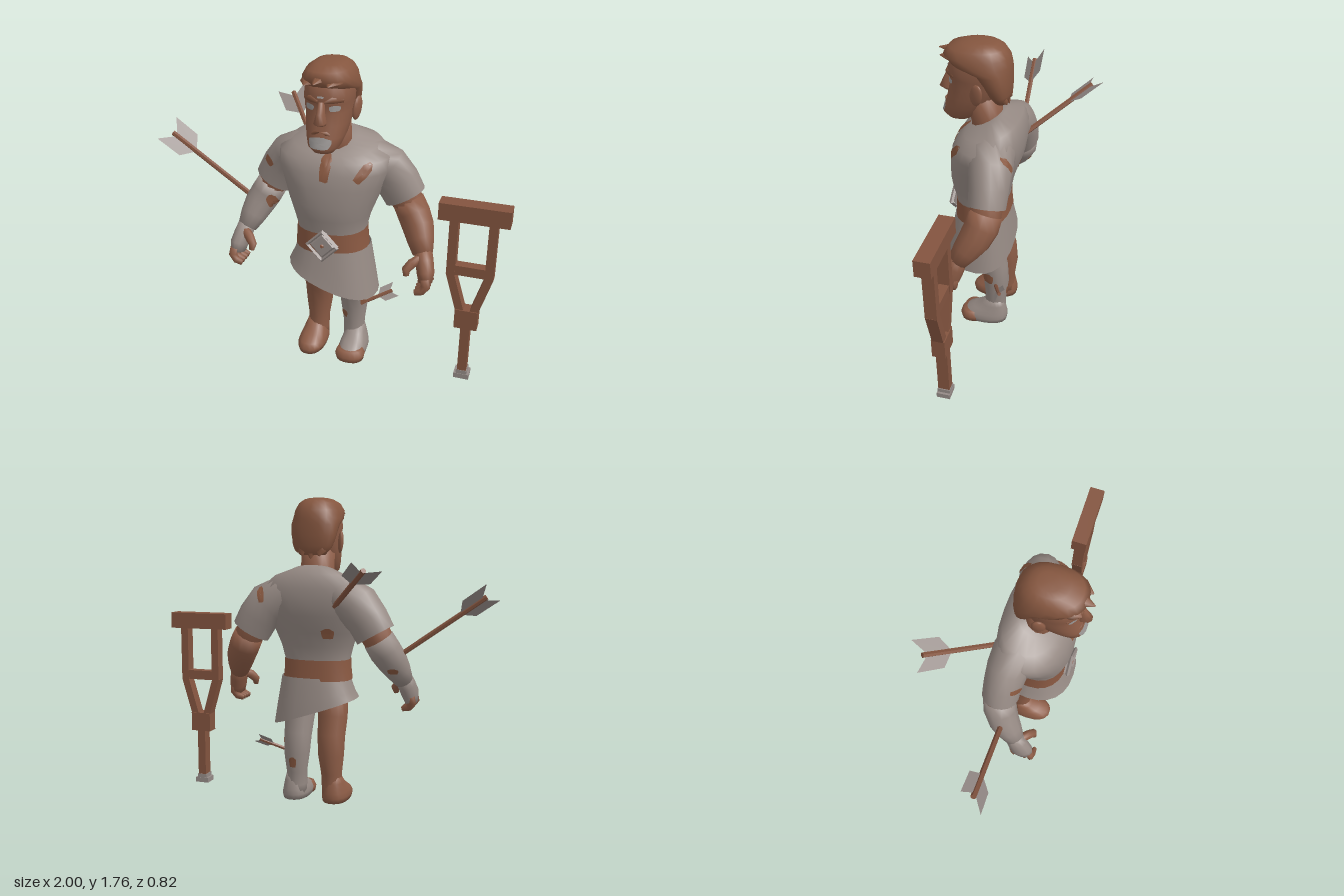
import * as THREE from 'three';

const V3 = (x, y, z) => new THREE.Vector3(x, y, z);
const mat = (name, color, side = THREE.FrontSide) => Object.assign(new THREE.MeshStandardMaterial({ color, side }), { name });
const flat = (g) => { const f = g.index ? g.toNonIndexed() : g; f.computeVertexNormals(); return f; };

// Skin a list of rings (arrays of points, counter-clockwise about the path) with optional caps
function skinRings(rings, caps = true) {
  const n = rings[0].length, pos = [], idx = [];
  rings.forEach((r) => r.forEach((p) => pos.push(p.x, p.y, p.z)));
  for (let i = 0; i < rings.length - 1; i++) for (let j = 0; j < n; j++) {
    const a = i * n + j, b = i * n + (j + 1) % n, d = a + n, e = b + n;
    idx.push(a, b, d, b, e, d);
  }
  if (caps) [0, rings.length - 1].forEach((i, end) => {
    const c = rings[i].reduce((s, p) => s.add(p), V3(0, 0, 0)).divideScalar(n);
    const k = pos.length / 3;
    pos.push(c.x, c.y, c.z);
    for (let j = 0; j < n; j++) {
      const a = i * n + j, b = i * n + (j + 1) % n;
      end ? idx.push(k, a, b) : idx.push(k, b, a);
    }
  });
  const g = new THREE.BufferGeometry();
  g.setAttribute('position', new THREE.Float32BufferAttribute(pos, 3));
  g.setIndex(idx);
  g.computeVertexNormals();
  return g;
}

// Limb along a path of [x, y, z, radiusAcross, radiusDeep]
function limb(path, s = 1, n = 12, caps = true) {
  const P = path.map((p) => V3(p[0] * s, p[1], p[2]));
  return skinRings(P.map((p, i) => {
    const T = P[Math.min(i + 1, P.length - 1)].clone().sub(P[Math.max(i - 1, 0)]).normalize();
    const U = V3(1, 0, 0).addScaledVector(T, -T.x).normalize();
    const W = T.clone().cross(U);
    return Array.from({ length: n }, (_, j) => {
      const t = (j / n) * Math.PI * 2;
      return p.clone().addScaledVector(U, Math.cos(t) * path[i][3]).addScaledVector(W, Math.sin(t) * (path[i][4] ?? path[i][3]));
    });
  }), caps);
}

// Stacked level rings, upwards: [y, halfWidth, zBack, zFront, tiltByZ, tiltByX]; mid = where the ring is widest
function stack(rows, { x = 0, mid = 0.5, n = 18, caps = true } = {}) {
  return skinRings(rows.map(([y, hw, zb, zf, tz = 0, tx = 0]) => {
    const zc = zb + (zf - zb) * mid;
    return Array.from({ length: n }, (_, j) => {
      const t = (j / n) * Math.PI * 2, c = Math.cos(t), s = -Math.sin(t);
      const px = hw * Math.sign(c) * Math.abs(c) ** 0.85;
      const dz = (s > 0 ? zf - zc : zc - zb) * Math.sign(s) * Math.abs(s) ** 0.85;
      return V3(x + px, y + tz * dz + tx * px, zc + dz);
    });
  }), caps);
}

export function createModel() {
  const D = THREE.DoubleSide;
  const skin = mat('skin', 0x8c5c46), hair = mat('hair', 0x85563f), wood = mat('wood', 0x83543f);
  const leather = mat('leather', 0x8a5942, D), cloth = mat('cloth', 0x968a84, D), metal = mat('metal', 0x948a86, D);
  const stain = mat('stain', 0x87573f, D), pale = mat('pale', 0x9a9694, D);
  const root = new THREE.Group(), body = new THREE.Group();
  root.name = 'woundedMan';
  body.name = 'body';
  root.add(body);
  const add = (name, g, m, parent = body) => {
    const mesh = new THREE.Mesh(g, m);
    mesh.name = name;
    parent.add(mesh);
    return mesh;
  };

  // Tunic, belt and slanted skirt
  const tunic = add('tunic', stack([
    [0.7, 0.185, 0.04, 0.32], [0.84, 0.192, 0.035, 0.328], [0.92, 0.212, 0.02, 0.345], [1.0, 0.242, -0.005, 0.352],
    [1.1, 0.28, -0.04, 0.345], [1.18, 0.31, -0.052, 0.33], [1.25, 0.31, -0.05, 0.3, -0.05],
    [1.31, 0.235, -0.03, 0.265, -0.25], [1.345, 0.125, 0.045, 0.24, -0.5]], { mid: 0.4, n: 24 }), cloth);
  add('belt', stack([[0.72, 0.204, 0.026, 0.336], [0.78, 0.197, 0.03, 0.333], [0.84, 0.195, 0.031, 0.332]], { mid: 0.42, n: 24, caps: false }), leather);
  add('skirt', stack([[0.525, 0.252, 0, 0.383, 0, -0.34], [0.61, 0.23, 0.01, 0.362, 0, -0.18], [0.735, 0.201, 0.026, 0.335]],
    { x: 0.012, mid: 0.43, n: 24, caps: false }), cloth);

  // Belt buckle
  const buckle = new THREE.Group();
  buckle.name = 'buckle';
  buckle.position.set(0, 0.78, 0.345);
  buckle.rotation.x = -0.06;
  body.add(buckle);
  add('bucklePlate', flat(new THREE.CylinderGeometry(0.06, 0.085, 0.025, 4).rotateX(Math.PI / 2)), metal, buckle);
  add('buckleFrame', flat(new THREE.TorusGeometry(0.083, 0.012, 4, 4)), metal, buckle).position.z = 0.01;
  add('buckleStud', flat(new THREE.CylinderGeometry(0.008, 0.013, 0.008, 6).rotateX(Math.PI / 2)), leather, buckle).position.z = 0.015;

  // Arms and legs; the right forearm and left leg are bandaged
  const sleeves = [], shins = [], forearms = [];
  for (const s of [1, -1]) {
    const side = s > 0 ? 'left' : 'right';
    const forearmMat = s > 0 ? skin : cloth, legMat = s > 0 ? cloth : skin;
    sleeves.push(add(side + 'Sleeve', limb([[0.12, 1.21, 0.1, 0.11, 0.14], [0.19, 1.195, 0.08, 0.125, 0.13],
      [0.27, 1.155, 0.062, 0.13, 0.114], [0.33, 1.08, 0.055, 0.122, 0.105], [0.375, 1.0, 0.055, 0.117, 0.1]], s, 16, false), cloth));
    add(side + 'UpperArm', limb([[0.3, 1.13, 0.06, 0.09], [0.36, 1.03, 0.06, 0.093], [0.4, 0.955, 0.058, 0.084], [0.425, 0.91, 0.07, 0.074]], s), skin);
    forearms.push(add(side + 'Forearm', limb([[0.392, 0.975, 0.055, 0.09], [0.428, 0.91, 0.07, 0.092],
      [0.462, 0.85, 0.1, 0.087], [0.488, 0.79, 0.14, 0.074], [0.512, 0.73, 0.18, 0.055]], s), forearmMat));
    add(side + 'Palm', limb([[0.508, 0.755, 0.17, 0.05, 0.047], [0.526, 0.7, 0.2, 0.05, 0.062],
      [0.542, 0.645, 0.23, 0.048, 0.07], [0.547, 0.6, 0.245, 0.037, 0.06]], s), forearmMat);
    for (let i = 0; i < 4; i++) {
      const z = 0.195 + i * 0.033;
      add(side + 'Finger', limb([[0.55, 0.635, z - 0.01, 0.026, 0.02], [0.557, 0.598, z, 0.026, 0.02],
        [0.535, 0.568, z + 0.005, 0.023, 0.018], [0.5, 0.557, z + 0.008, 0.016, 0.012]], s, 8), skin);
    }
    add(side + 'Thumb', limb([[0.51, 0.725, 0.215, 0.026], [0.468, 0.7, 0.25, 0.027], [0.442, 0.668, 0.27, 0.024], [0.447, 0.638, 0.28, 0.015]], s, 8), skin);
    shins.push(add(side + 'Leg', limb([[0.095, 0.68, 0.16, 0.09, 0.1], [0.102, 0.5, 0.135, 0.087, 0.09], [0.103, 0.39, 0.1, 0.082, 0.08],
      [0.106, 0.28, 0.088, 0.077, 0.074], [0.108, 0.17, 0.093, 0.062, 0.062], [0.11, 0.09, 0.097, 0.061, 0.064], [0.112, 0.03, 0.1, 0.062, 0.07]], s, 14), legMat));
    add(side + 'Foot', stack([[0, 0.076, 0.025, 0.293], [0.03, 0.083, 0.02, 0.298], [0.058, 0.076, 0.022, 0.278],
      [0.085, 0.067, 0.027, 0.225], [0.115, 0.056, 0.034, 0.175], [0.15, 0.046, 0.045, 0.14]], { x: s * 0.123 }), legMat);
    if (s > 0) add('leftToes', stack([[0, 0.08, 0.16, 0.3], [0.03, 0.086, 0.16, 0.305], [0.062, 0.072, 0.18, 0.285]], { x: 0.125 }), skin);
  }

  // Neck, head and face
  add('neck', limb([[0, 1.24, 0.14, 0.11, 0.09], [0, 1.32, 0.15, 0.1, 0.088], [0, 1.46, 0.17, 0.1, 0.09]]), skin);
  const head = add('head', stack([[1.318, 0.055, 0.24, 0.365], [1.35, 0.082, 0.19, 0.393], [1.4, 0.1, 0.14, 0.378], [1.46, 0.112, 0.09, 0.362],
    [1.52, 0.118, 0.06, 0.348], [1.57, 0.122, 0.05, 0.345], [1.6, 0.126, 0.04, 0.36], [1.65, 0.124, 0.04, 0.342], [1.7, 0.11, 0.05, 0.32]], { n: 22 }), skin);
  add('nose', stack([[1.468, 0.026, 0.32, 0.38], [1.485, 0.032, 0.32, 0.412], [1.53, 0.021, 0.32, 0.39], [1.585, 0.016, 0.32, 0.362]], { n: 10 }), skin);
  for (const s of [1, -1]) {
    const ear = add('ear', new THREE.SphereGeometry(1, 10, 8), skin);
    ear.scale.set(0.016, 0.064, 0.037);
    ear.position.set(s * 0.133, 1.512, 0.172);
    ear.rotation.set(-0.2, s * -0.3, s * -0.12);
    add('eyebrow', limb([[0.018, 1.587, 0.355, 0.008, 0.012], [0.055, 1.598, 0.345, 0.012, 0.018], [0.1, 1.59, 0.3, 0.008, 0.012]], s, 6), hair);
  }
  add('moustache', limb([[-0.06, 1.41, 0.35, 0.005], [-0.03, 1.43, 0.364, 0.012], [0, 1.435, 0.37, 0.012],
    [0.03, 1.43, 0.364, 0.012], [0.06, 1.41, 0.35, 0.005]].map(([x, y, z, r]) => [x, y, z, r, r]), 1, 6), hair);

  // Hair cap, swept fringe and nape locks
  add('hair', stack([[1.44, 0.075, 0.03, 0.1], [1.49, 0.115, 0.018, 0.13], [1.55, 0.13, 0.014, 0.165], [1.61, 0.138, 0.014, 0.22],
    [1.645, 0.14, 0.016, 0.33], [1.69, 0.134, 0.024, 0.375], [1.73, 0.112, 0.05, 0.345], [1.752, 0.08, 0.085, 0.28], [1.76, 0.05, 0.12, 0.23]], { n: 20 }), hair);
  for (const [x, y, z] of [[-0.085, 1.668, 0.365], [-0.02, 1.69, 0.41], [0.045, 1.676, 0.385]])
    add('fringeLock', limb([[x + 0.02, y + 0.02, 0.26, 0.055, 0.03], [x + 0.012, y + 0.008, 0.33, 0.045, 0.02], [x, y, z, 0.004, 0.003]], 1, 6), hair);
  for (const x of [-0.05, 0, 0.05])
    add('napeLock', limb([[x, 1.52, 0.06, 0.04, 0.035], [x, 1.46, 0.045, 0.035, 0.02], [x, 1.42 + Math.abs(x) * 0.3, 0.03, 0.003]], 1, 6), hair);

  // Thin patch laid on a surface, cast along dir
  const ray = new THREE.Raycaster();
  body.updateMatrixWorld(true);
  const patch = (name, m, targets, at, dir, w, h, rot = 0, rough = 0.08) => {
    const U = V3(0, 1, 0).cross(dir.clone().negate()), n = 14;
    const hitAt = (u, v) => {
      ray.set(at.clone().addScaledVector(U, u).add(V3(0, v, 0)).addScaledVector(dir, -1), dir);
      const h0 = ray.intersectObjects(targets, false)[0];
      return h0 && h0.point.addScaledVector(dir, -0.005);
    };
    const centre = hitAt(0, 0);
    if (!centre) return;
    const rings = [0.02, 0.35, 0.7, 1].map((k) => Array.from({ length: n }, (_, j) => {
      const t = (j / n) * Math.PI * 2, r = k * (1 + rough * Math.sin(j * 2.3));
      const c = Math.cos(t), q = Math.sin(t);
      const a = Math.sign(c) * Math.abs(c) ** 0.7 * w * r, b = Math.sign(q) * Math.abs(q) ** 0.7 * h * r;
      const u = a * Math.cos(rot) - b * Math.sin(rot), v = a * Math.sin(rot) + b * Math.cos(rot);
      return hitAt(u, v) || centre.clone();
    }));
    add(name, skinRings(rings.reverse(), false), m);
  };
  const F = V3(0, 0, -1), B = V3(0, 0, 1), L = V3(-1, 0, 0);
  const shirt = [tunic, ...sleeves], shin = [shins[0]], wrap = [forearms[1]];
  patch('collarSlit', stain, shirt, V3(0.005, 1.215, 0), F, 0.029, 0.07);
  patch('chestStain', stain, shirt, V3(0.2, 1.2, 0), F, 0.026, 0.056, -0.6);
  patch('sleeveStain', stain, shirt, V3(-0.375, 1.14, 0), F, 0.032, 0.02, -0.6);
  patch('backStain', stain, shirt, V3(0.28, 1.215, 0), B, 0.02, 0.045, 0.3);
  patch('lowerBackStain', stain, shirt, V3(-0.11, 1.0, 0), B, 0.036, 0.03);
  patch('legStain', stain, shin, V3(0.065, 0.235, 0), F, 0.02, 0.024);
  patch('legStain', stain, shin, V3(0, 0.34, 0.12), L, 0.034, 0.035);
  patch('legStain', stain, shin, V3(0.11, 0.23, 0), B, 0.023, 0.032);
  patch('armStain', stain, wrap, V3(-0.37, 0.89, 0), F, 0.024, 0.042, 0.2);
  patch('armStain', stain, wrap, V3(-0.48, 0.8, 0), B, 0.03, 0.016);
  for (const s of [1, -1]) patch('eye', pale, [head], V3(s * 0.065, 1.552, 0), F, 0.026, 0.015, 0, 0.04);
  patch('browScar', pale, [head], V3(0, 1.612, 0), F, 0.018, 0.005);
  patch('goatee', pale, [head], V3(0, 1.38, 0), F, 0.06, 0.03, 0, 0.06);

  body.position.x = 0.04;

  // Arrows: shaft with a flat pair of swept vanes at the tail; across = direction the vanes spread
  const vane = new THREE.ShapeGeometry(new THREE.Shape([[0, -0.17], [0.08, -0.11], [0.083, 0.045], [0, -0.03], [-0.083, 0.045], [-0.08, -0.11]]
    .map((p) => new THREE.Vector2(...p))));
  const arrow = (name, tip, tail, across, size, radius) => {
    const g = new THREE.Group(), d = tail.clone().sub(tip), len = d.length();
    d.normalize();
    const w = across.addScaledVector(d, -across.dot(d)).normalize();
    g.name = name;
    g.quaternion.setFromRotationMatrix(new THREE.Matrix4().makeBasis(w, d, w.clone().cross(d)));
    g.position.copy(tail);
    add('shaft', flat(new THREE.CylinderGeometry(radius, radius, len, 6).translate(0, -len / 2, 0)), wood, g);
    add('vanes', vane, metal, g).scale.setScalar(size);
    root.add(g);
  };
  arrow('armArrow', V3(-0.4, 0.84, 0.1), V3(-0.93, 1.222, 0.12), V3(0.08, 0.08, -0.12), 1, 0.015);
  arrow('backArrow', V3(-0.1, 1.145, 0.0), V3(-0.37, 1.374, -0.34), V3(0.135, 0.045, -0.075), 1, 0.015);
  arrow('legArrow', V3(0.16, 0.27, 0.1), V3(0.352, 0.357, 0.015), V3(-0.04, 0.05, -0.04), 0.53, 0.011);

  // Crutch
  const crutch = new THREE.Group();
  crutch.name = 'crutch';
  crutch.position.set(0.815, 0, 0.197);
  root.add(crutch);
  const box = (name, x, y, w, h, d, m = wood) => {
    const b = add(name, new THREE.BoxGeometry(w, h, d), m, crutch);
    b.position.set(x, y, 0);
    return b;
  };
  box('armRest', 0, 1.028, 0.37, 0.095, 0.086);
  box('handGrip', 0, 0.688, 0.17, 0.056, 0.055);
  box('joint', 0, 0.392, 0.125, 0.115, 0.074);
  box('post', 0, 0.18, 0.05, 0.32, 0.064);
  box('ferrule', 0, 0.015, 0.085, 0.03, 0.075, metal);
  box('ferruleNeck', 0, 0.038, 0.06, 0.03, 0.07, metal);
  for (const s of [1, -1]) {
    box('upright', s * 0.102, 0.825, 0.046, 0.33, 0.064);
    box('strut', s * 0.07, 0.55, 0.044, 0.25, 0.063).rotation.z = -s * 0.285;
  }
  return root;
}
